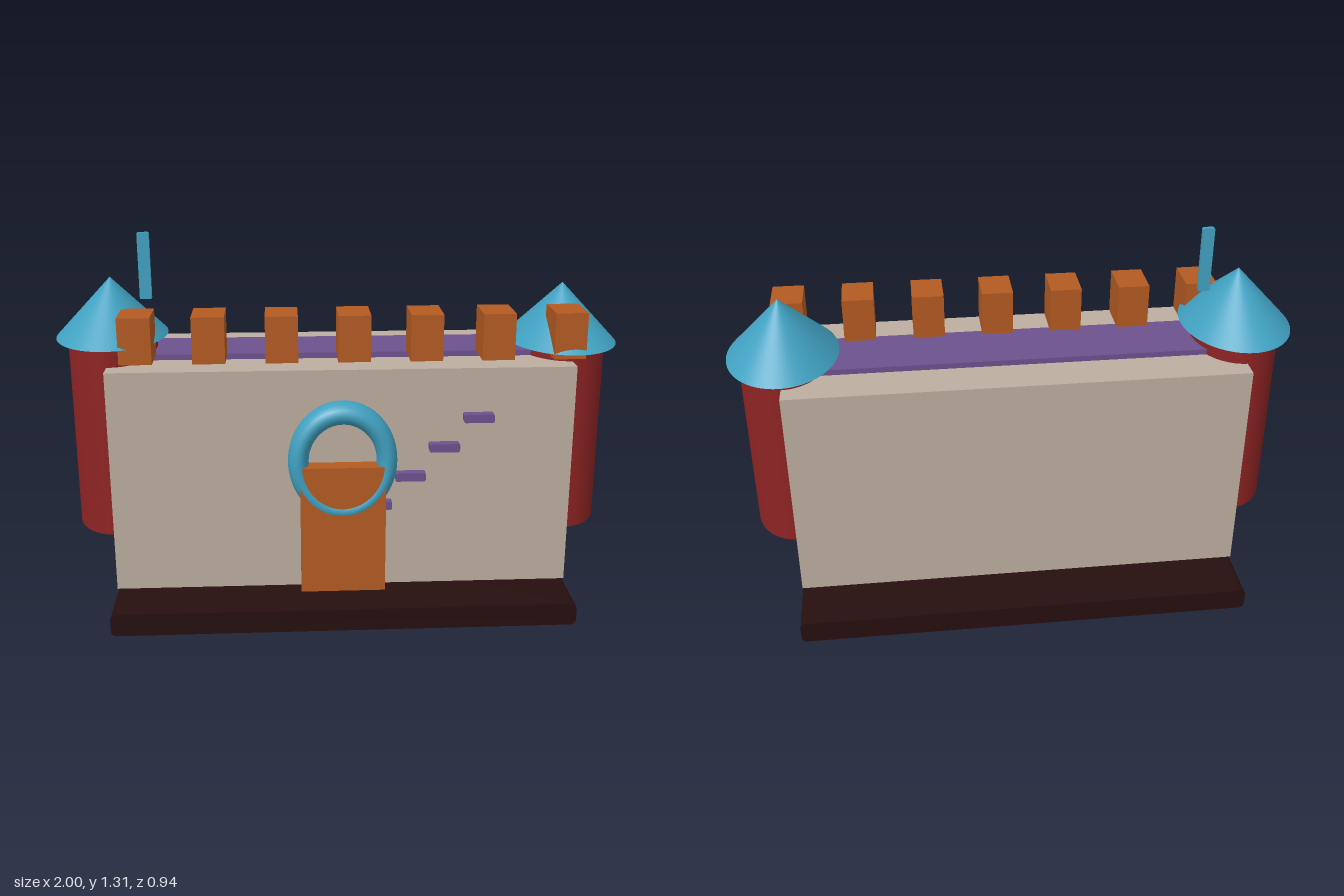
import * as THREE from 'three';

const material = (name, color) => {
  const m = new THREE.MeshStandardMaterial({ color });
  m.name = name;
  return m;
};

export function createModel() {
  const stone = material('stone', 0xbcad9f);
  const red = material('towerRed', 0x8e2323);
  const blue = material('roofBlue', 0x40a0c0);
  const orange = material('woodOrange', 0xb35a22);
  const purple = material('purple', 0x6c528e);
  const dark = material('baseBrown', 0x260e0e);

  const model = new THREE.Group();
  model.name = 'castle';

  const add = (name, geometry, mat, x, y, z, parent = model) => {
    const mesh = new THREE.Mesh(geometry, mat);
    mesh.name = name;
    mesh.position.set(x, y, z);
    parent.add(mesh);
    return mesh;
  };
  const box = (name, mat, w, h, d, x, y, z) =>
    add(name, new THREE.BoxGeometry(w, h, d), mat, x, y, z);

  // Slab with rounded corners seen from the front, square along z
  const slab = (name, mat, w, h, d, r, x, y, z) => {
    const a = w / 2, b = h / 2;
    const s = new THREE.Shape();
    s.moveTo(-a + r, -b);
    s.absarc(a - r, -b + r, r, -Math.PI / 2, 0);
    s.absarc(a - r, b - r, r, 0, Math.PI / 2);
    s.absarc(-a + r, b - r, r, Math.PI / 2, Math.PI);
    s.absarc(-a + r, -b + r, r, Math.PI, Math.PI * 1.5);
    const g = new THREE.ExtrudeGeometry(s, { depth: d, bevelEnabled: false, curveSegments: 5 });
    g.translate(0, 0, -d / 2);
    return add(name, g, mat, x, y, z);
  };

  // Ground slab, main wall and rooftop walkway
  slab('base', dark, 1.61, 0.08, 0.94, 0.02, 0, 0.04, 0);
  box('mainWall', stone, 1.61, 0.8, 0.545, 0, 0.48, 0);
  box('walkway', purple, 1.6, 0.03, 0.235, 0, 0.885, -0.003);

  // Oval towers with conical roofs
  const tower = (name, x, bottom, top) => {
    const group = new THREE.Group();
    group.name = name;
    group.position.x = x;
    group.scale.x = 0.755;
    const h = top - bottom;
    add('towerBody', new THREE.CylinderGeometry(0.205, 0.205, h, 64), red, 0, bottom + h / 2, 0, group);
    add('towerRoof', new THREE.ConeGeometry(0.258, 0.205, 64), blue, 0, top + 0.1025, 0, group);
    model.add(group);
  };
  tower('rightTower', -0.805, 0.26, 0.95);
  tower('leftTower', 0.805, 0.253, 0.915);
  slab('flagPole', blue, 0.042, 0.235, 0.017, 0.005, -0.682, 1.1925, 0);

  // Battlements along the front edge
  for (let i = 0; i < 7; i++) {
    box('merlon', orange, 0.112, 0.162, 0.15, -0.702 + i * 0.248, 0.978, 0.163);
  }

  // Door with an oval ring around its top
  box('door', orange, 0.296, 0.465, 0.093, -0.001, 0.3145, 0.2865);
  const ring = add('doorRing', new THREE.TorusGeometry(0.154, 0.036, 24, 72), blue, -0.001, 0.557, 0.281);
  ring.scale.set(1, 1.137, 1.53);

  // Small steps climbing the front wall
  for (let i = 0; i < 4; i++) {
    slab('step', purple, 0.106, 0.03, 0.06, 0.007, 0.118 + i * 0.1167, 0.392 + i * 0.1053, 0.275);
  }
  return model;
}
